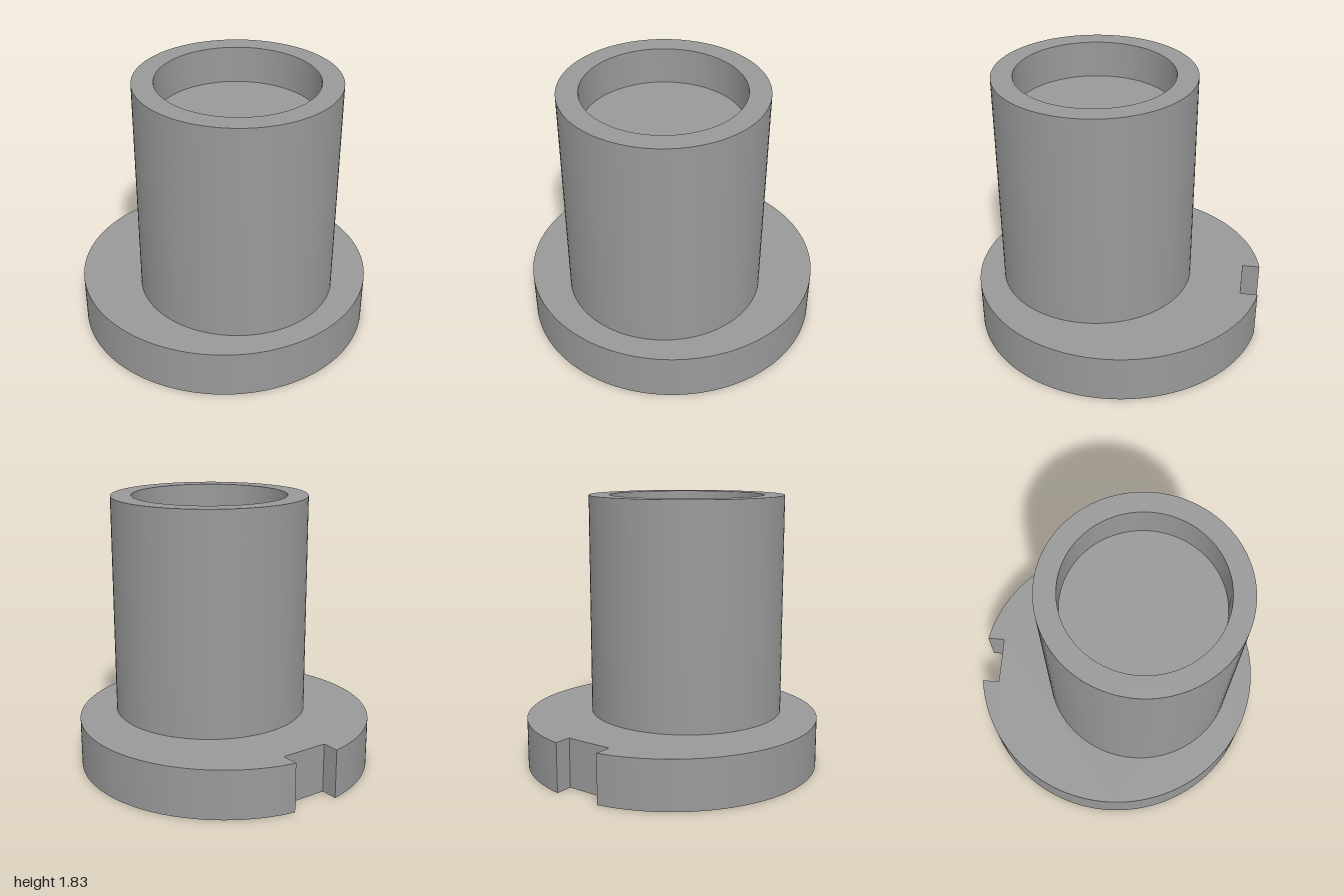
import * as THREE from 'three';
import { toCreasedNormals } from 'three/addons/utils/BufferGeometryUtils.js';

const SEGMENTS = 96;
const FLANGE = { radius: 1, height: 0.333, z: -0.007 };
const NOTCH = { halfWidth: 0.167, floor: 0.867 };
const RECESS = { radius: 0.56, depth: 0.3 };
const TUBE = { radius: 0.667, bore: 0.527, top: 1.833, boreFloor: 1.583, z: 0.16 };

// Disc outline with a rectangular keyway at the back
function flangeShape() {
  const a = Math.asin(NOTCH.halfWidth / FLANGE.radius);
  const shape = new THREE.Shape();
  shape.absarc(0, 0, FLANGE.radius, Math.PI / 2 + a, Math.PI * 2.5 - a, false);
  shape.lineTo(NOTCH.halfWidth, NOTCH.floor);
  shape.lineTo(-NOTCH.halfWidth, NOTCH.floor);
  shape.closePath();
  return shape;
}

// Side faces only of an extruded outline
function extrudedWall(shape, depth) {
  const solid = new THREE.ExtrudeGeometry(shape, { depth, bevelEnabled: false, curveSegments: SEGMENTS });
  const side = solid.groups[1];
  const wall = new THREE.BufferGeometry();
  const positions = solid.attributes.position.array.slice(side.start * 3, (side.start + side.count) * 3);
  wall.setAttribute('position', new THREE.BufferAttribute(positions, 3));
  return toCreasedNormals(wall, 0.5);
}

function turned(points) {
  const profile = points.map(([r, y]) => new THREE.Vector2(r, y));
  return toCreasedNormals(new THREE.LatheGeometry(profile, SEGMENTS), 0.5);
}

export function createModel() {
  const grey = new THREE.MeshStandardMaterial({ color: 0x999999 });
  grey.name = 'grey';

  const model = new THREE.Group();
  model.name = 'flangedSleeve';

  const add = (parent, name, geometry) => {
    const mesh = new THREE.Mesh(geometry, grey);
    mesh.name = name;
    parent.add(mesh);
    return mesh;
  };

  // Notched flange
  const flange = new THREE.Group();
  flange.name = 'flange';
  flange.position.z = FLANGE.z;
  model.add(flange);

  add(flange, 'flangeRim', extrudedWall(flangeShape(), FLANGE.height).rotateX(-Math.PI / 2));

  const top = new THREE.ShapeGeometry(flangeShape(), SEGMENTS).rotateX(-Math.PI / 2);
  add(flange, 'flangeTop', top).position.y = FLANGE.height;

  // Underside, turned over to face down, with the round recess opening
  const underside = flangeShape();
  underside.holes.push(new THREE.Path().absarc(0, 0, RECESS.radius, 0, Math.PI * 2, true));
  add(flange, 'flangeUnderside',
    new THREE.ShapeGeometry(underside, SEGMENTS).rotateX(-Math.PI / 2).rotateZ(Math.PI));

  add(flange, 'undersideRecess', turned([
    [0, RECESS.depth], [RECESS.radius, RECESS.depth], [RECESS.radius, 0],
  ]));

  // Off-centre tube with a shallow blind bore
  add(model, 'tube', turned([
    [TUBE.radius, FLANGE.height], [TUBE.radius, TUBE.top],
    [TUBE.bore, TUBE.top], [TUBE.bore, TUBE.boreFloor], [0, TUBE.boreFloor],
  ])).position.z = TUBE.z;

  return model;
}
